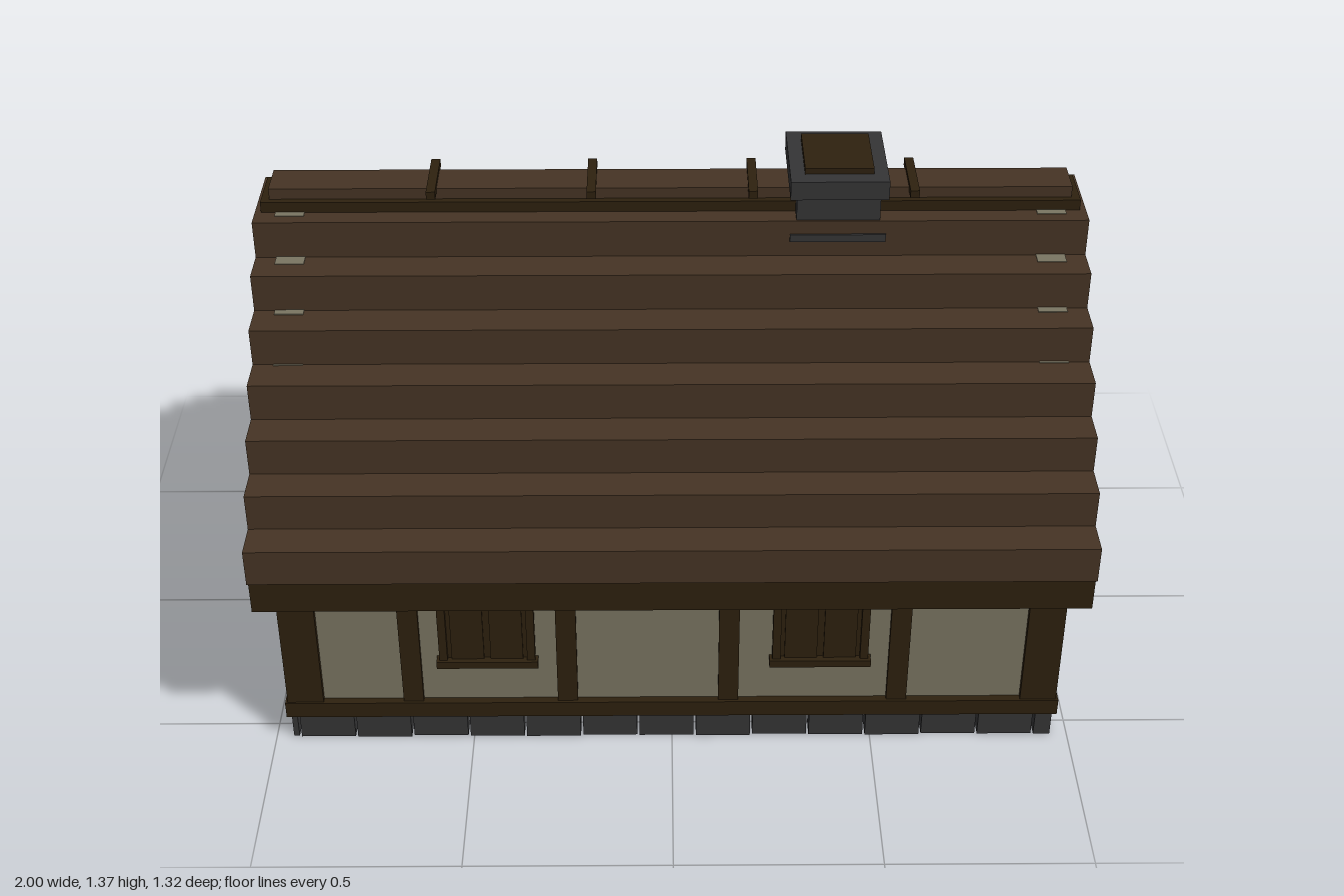
import * as THREE from 'three';

const paint = (name, color) => {
  const m = new THREE.MeshStandardMaterial({ color });
  m.name = name;
  return m;
};

export function createModel() {
  const plaster = paint('plaster', 0x7a7562);
  const timber = paint('dark timber', 0x2e210f);
  const shingle = paint('brown shingle', 0x463424);
  const stone = paint('grey stone', 0x353536);

  const house = new THREE.Group();
  house.name = 'cottage';

  // Box given by its limits on each axis
  const box = (name, mat, x0, x1, y0, y1, z0, z1, parent = house) => {
    const mesh = new THREE.Mesh(new THREE.BoxGeometry(x1 - x0, y1 - y0, z1 - z0), mat);
    mesh.position.set((x0 + x1) / 2, (y0 + y1) / 2, (z0 + z1) / 2);
    mesh.name = name;
    parent.add(mesh);
    return mesh;
  };
  const group = (name) => {
    const g = new THREE.Group();
    g.name = name;
    house.add(g);
    return g;
  };

  // Foundation: a hollow ring of stones with narrow joints
  const foundation = group('foundation');
  const course = (limit, pitch, joint, place) => {
    const cuts = [-limit];
    const first = joint - Math.floor((joint + limit) / pitch) * pitch;
    for (let c = first; c < limit - 0.01; c += pitch) if (c > -limit + 0.01) cuts.push(c);
    cuts.push(limit);
    for (let i = 0; i < cuts.length - 1; i++) {
      place(cuts[i] + 0.003, cuts[i + 1] - 0.003, (i % 3) * 0.002);
    }
  };
  course(0.96, 0.1425, 0.2, (a, b, d) => box('foundationStone', stone, a, b, 0, 0.08, 0.5, 0.546 + d, foundation));
  course(0.96, 0.19, 0.2, (a, b, d) => box('foundationStone', stone, a, b, 0, 0.08, -0.546 - d, -0.5, foundation));
  course(0.5, 0.14, 0.115, (a, b, d) => box('foundationStone', stone, 0.91, 0.956 + d, 0, 0.08, a, b, foundation));
  course(0.5, 0.21, 0.115, (a, b, d) => box('foundationStone', stone, -0.956 - d, -0.91, 0, 0.08, a, b, foundation));
  box('floorSlab', stone, -0.94, 0.94, 0.068, 0.09, -0.53, 0.53);

  // Plaster walls
  box('walls', plaster, -0.945, 0.945, 0.09, 0.575, -0.545, 0.545);

  // Sill beams, top beams and corner posts
  const frame = group('timberFrame');
  for (const s of [-1, 1]) {
    const zr = (a, b) => (s > 0 ? [a, b] : [-b, -a]);
    box('longSill', timber, -0.966, 0.966, 0.08, 0.125, ...zr(0.48, 0.565), frame);
    box('endSill', timber, ...zr(0.88, 0.968), 0.08, 0.125, -0.48, 0.48, frame);
    box('longTopBeam', timber, -0.962, 0.962, 0.535, 0.579, ...zr(0.46, 0.561), frame);
    box('endTopBeam', timber, ...zr(0.88, 0.962), 0.535, 0.579, -0.46, 0.46, frame);
    for (const t of [-1, 1]) {
      const xr = t > 0 ? [0.87, 0.96] : [-0.96, -0.87];
      box('cornerPost', timber, ...xr, 0.125, 0.535, ...zr(0.46, 0.56), frame);
    }
  }

  // Wall posts
  const post = (x, z, alongX) => {
    const w = alongX ? 0.025 : 0.012, d = alongX ? 0.012 : 0.024;
    box('wallPost', timber, x - w, x + w, 0.12, 0.54, z - d, z + d, frame);
  };
  for (const x of [-0.645, -0.26, 0.14, 0.56]) post(x, 0.545, true);
  for (const x of [-0.61, -0.21, 0.2, 0.6]) post(x, -0.545, true);
  for (const s of [-1, 1]) for (const z of [-0.215, 0.215]) post(s * 0.945, z, false);

  // Shuttered windows on both long walls
  for (const s of [-1, 1]) {
    for (const x of [-0.455, 0.365]) {
      const w = group('window');
      w.position.set(x, 0, s * 0.545);
      if (s < 0) w.rotation.y = Math.PI;
      box('windowBacking', timber, -0.11, 0.11, 0.25, 0.46, -0.01, 0.006, w);
      box('windowLintel', timber, -0.118, 0.118, 0.45, 0.467, -0.01, 0.018, w);
      box('windowSill', timber, -0.125, 0.125, 0.242, 0.262, -0.01, 0.026, w);
      for (const t of [-1, 1]) {
        box('windowJamb', timber, t * 0.108 - 0.01, t * 0.108 + 0.01, 0.26, 0.452, -0.01, 0.018, w);
        box('shutter', timber, t * 0.048 - 0.04, t * 0.048 + 0.04, 0.262, 0.45, -0.01, 0.012, w);
      }
    }
  }

  // Plank door in the left-hand gable wall
  const door = group('door');
  box('doorBacking', timber, -0.957, -0.94, 0.1, 0.47, -0.17, 0.17, door);
  for (let i = 0; i < 4; i++) {
    const z = -0.135 + i * 0.07;
    box('doorPlank', timber, -0.97, -0.95, 0.12, 0.46, z, z + 0.06, door);
  }
  for (const y of [0.19, 0.37]) box('doorBatten', timber, -0.98, -0.95, y, y + 0.03, -0.13, 0.13, door);
  for (const z of [-0.165, 0.165]) box('doorJamb', timber, -0.977, -0.94, 0.1, 0.48, z - 0.02, z + 0.02, door);
  box('doorLintel', timber, -0.979, -0.94, 0.46, 0.485, -0.185, 0.185, door);
  box('doorHandle', stone, -0.986, -0.965, 0.285, 0.31, 0.09, 0.11, door);

  // Stepped roof courses, with gable walls just showing on the treads
  const roof = group('roof');
  [0.66, 0.57, 0.48, 0.39, 0.297, 0.205, 0.115].forEach((z, i) => {
    const y = 0.58 + i * 0.095;
    box('roofCourse', shingle, -1, 1, y, y + 0.095, -z, z, roof);
  });
  [[0.302, 0.96], [0.225, 1.055], [0.15, 1.15], [0.085, 1.245]].forEach(([z, y]) => {
    for (const s of [-1, 1]) box('gableTop', plaster, s * 0.915 - 0.035, s * 0.915 + 0.035, y - 0.05, y + 0.002, -z, z, roof);
  });
  for (const s of [-1, 1]) {
    box('eaveBeam', timber, -0.998, 0.998, 0.49, 0.58, s * 0.615 - 0.035, s * 0.615 + 0.035, roof);
  }

  // Ridge beam, ridge cap and cross pegs
  box('ridgeBeam', timber, -0.985, 0.985, 1.245, 1.272, -0.065, 0.065, roof);
  box('ridgeCap', shingle, -0.965, 0.965, 1.272, 1.3, -0.048, 0.048, roof);
  for (const x of [-0.573, -0.19, 0.197, 0.583]) {
    box('ridgePeg', timber, x - 0.011, x + 0.011, 1.29, 1.31, -0.085, 0.085, roof);
  }

  // Chimney
  const chimney = group('chimney');
  box('chimneyFlashing', stone, 0.285, 0.515, 1.19, 1.21, -0.12, 0.12, chimney);
  box('chimneyShaft', stone, 0.3, 0.5, 1.15, 1.32, -0.11, 0.11, chimney);
  box('chimneyCap', stone, 0.283, 0.517, 1.31, 1.358, -0.13, 0.13, chimney);
  box('chimneyCover', timber, 0.318, 0.482, 1.35, 1.373, -0.09, 0.09, chimney);

  return house;
}
